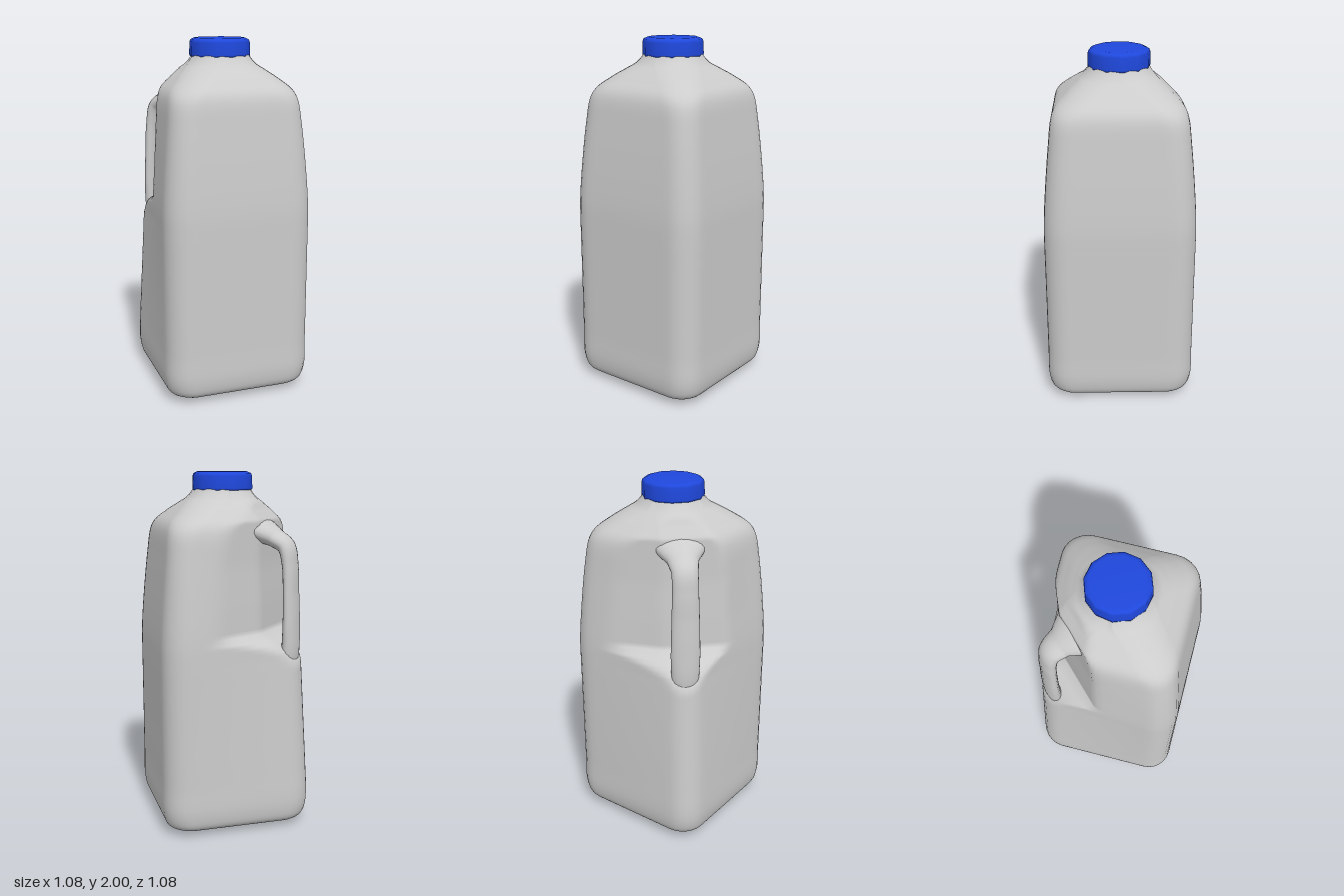
import * as THREE from 'three';

// Piecewise linear lookup in [[y, value], ...]
function lookup(table, y) {
  if (y <= table[0][0]) return table[0][1];
  for (let i = 1; i < table.length; i++) {
    const [y0, v0] = table[i - 1], [y1, v1] = table[i];
    if (y <= y1) return v0 + (v1 - v0) * (y - y0) / (y1 - y0);
  }
  return table[table.length - 1][1];
}

function smoothMax(a, b, k) {
  const h = Math.max(k - Math.abs(a - b), 0) / k;
  return Math.max(a, b) + h * h * k / 4;
}

// Skin closed rings of equal point count, stacked along a path
function loft(rings) {
  const n = rings[0].length, index = [];
  for (let j = 0; j < rings.length - 1; j++) {
    for (let i = 0; i < n; i++) {
      const k = (i + 1) % n;
      const a = j * n + i, b = j * n + k, c = a + n, d = b + n;
      index.push(a, c, b, b, c, d);
    }
  }
  const g = new THREE.BufferGeometry().setFromPoints(rings.flat());
  g.setIndex(index);
  g.computeVertexNormals();
  return g;
}

// Body outline: corner radius, height, roundness of the diamond section
const PROFILE = [
  [0, 0, 0.25], [0.3, 0.003, 0.25], [0.42, 0.014, 0.25], [0.51, 0.05, 0.25],
  [0.538, 0.12, 0.245], [0.54, 0.3, 0.245], [0.54, 0.6, 0.245], [0.54, 0.85, 0.245],
  [0.54, 0.97, 0.245], [0.538, 1.09, 0.245], [0.522, 1.28, 0.245], [0.49, 1.54, 0.25],
  [0.465, 1.67, 0.28], [0.43, 1.725, 0.33], [0.35, 1.78, 0.42], [0.26, 1.83, 0.6],
  [0.2, 1.865, 0.85], [0.17, 1.9, 0.93], [0.155, 1.93, 0.95],
];
// How far the handle corner leans in, and where the grip recess cuts it
const LEAN = [[0.25, 0], [1.0, 0.05], [1.3, 0.05], [1.6, 0.02]];
const RECESS = [
  [0.85, -0.62], [0.95, -0.5], [1.03, -0.44], [1.08, -0.38], [1.115, -0.3],
  [1.3, -0.295], [1.5, -0.285], [1.74, -0.285], [1.8, -0.24], [1.87, -0.2],
];

function bodyRing(r, y, round) {
  const f = r * round, tips = [r, r, r - lookup(LEAN, y) * Math.min(1, r / 0.4), r];
  const pts = [], arc = 6, side = 14;
  const corner = (k, angle) => {
    const t = k * Math.PI / 2, c = tips[k % 4] - f;
    return new THREE.Vector3(
      c * Math.cos(t) + f * Math.cos(t + angle), y,
      c * Math.sin(t) + f * Math.sin(t + angle));
  };
  for (let k = 0; k < 4; k++) {
    for (let i = 0; i <= arc; i++) pts.push(corner(k, (i / arc - 0.5) * Math.PI / 2));
    const a = corner(k, Math.PI / 4), b = corner(k + 1, -Math.PI / 4);
    for (let i = 1; i < side; i++) pts.push(a.clone().lerp(b, i / side));
  }
  // press the recess into the handle corner, wider towards the back
  for (const p of pts) {
    if (y > 0.85 && y < 1.87 && p.x < 0) {
      const wall = lookup(RECESS, y) + 0.4 * Math.max(0, -p.z - 0.1);
      p.x = smoothMax(p.x, wall, 0.025);
    }
  }
  return pts;
}

function bodyGeometry() {
  const curve = new THREE.CatmullRomCurve3(PROFILE.map(p => new THREE.Vector3(...p)));
  return loft(curve.getPoints((PROFILE.length - 1) * 6)
    .map(p => bodyRing(Math.max(p.x, 0), Math.max(p.y, 0), p.z)));
}

// Handle stations, bottom to top: x, y, half thickness, half width
const HANDLE = [
  [-0.4, 0.84, 0.05, 0.05], [-0.435, 1.0, 0.045, 0.075], [-0.441, 1.15, 0.039, 0.08],
  [-0.436, 1.35, 0.036, 0.075], [-0.428, 1.5, 0.038, 0.07], [-0.403, 1.6, 0.045, 0.07],
  [-0.34, 1.642, 0.05, 0.085], [-0.26, 1.68, 0.065, 0.14], [-0.16, 1.71, 0.07, 0.17],
];

function handleGeometry() {
  const path = new THREE.CatmullRomCurve3(HANDLE.map(h => new THREE.Vector3(h[0], h[1], 0)));
  const steps = 64, rings = [], last = HANDLE.length - 1;
  for (let j = 0; j <= steps; j++) {
    const u = j / steps, p = path.getPoint(u), t = path.getTangent(u);
    const size = k => lookup(HANDLE.map((h, i) => [i / last, h[k]]), u);
    const thick = size(2), wide = size(3), ring = [];
    for (let i = 0; i < 20; i++) {
      const a = i / 20 * Math.PI * 2, c = Math.cos(a) * thick;
      ring.push(new THREE.Vector3(p.x + t.y * c, p.y - t.x * c, Math.sin(a) * wide));
    }
    rings.push(ring);
  }
  return loft(rings);
}

export function createModel() {
  const group = new THREE.Group();
  group.name = 'jug';
  const plastic = new THREE.MeshStandardMaterial({ color: 0xcccccc });
  const blue = new THREE.MeshStandardMaterial({ color: 0x1f48dd });
  const add = (name, geometry, material) => {
    const mesh = new THREE.Mesh(geometry, material);
    mesh.name = name;
    group.add(mesh);
  };

  add('body', bodyGeometry(), plastic);
  add('handle', handleGeometry(), plastic);

  // Twelve-sided screw cap with a softened rim
  const cap = [[0.15, 1.9], [0.17, 1.9], [0.171, 1.91], [0.169, 1.975], [0.163, 1.99], [0.14, 2], [0, 2]];
  add('cap', new THREE.LatheGeometry(cap.map(p => new THREE.Vector2(...p)), 12, -0.18), blue);
  return group;
}
